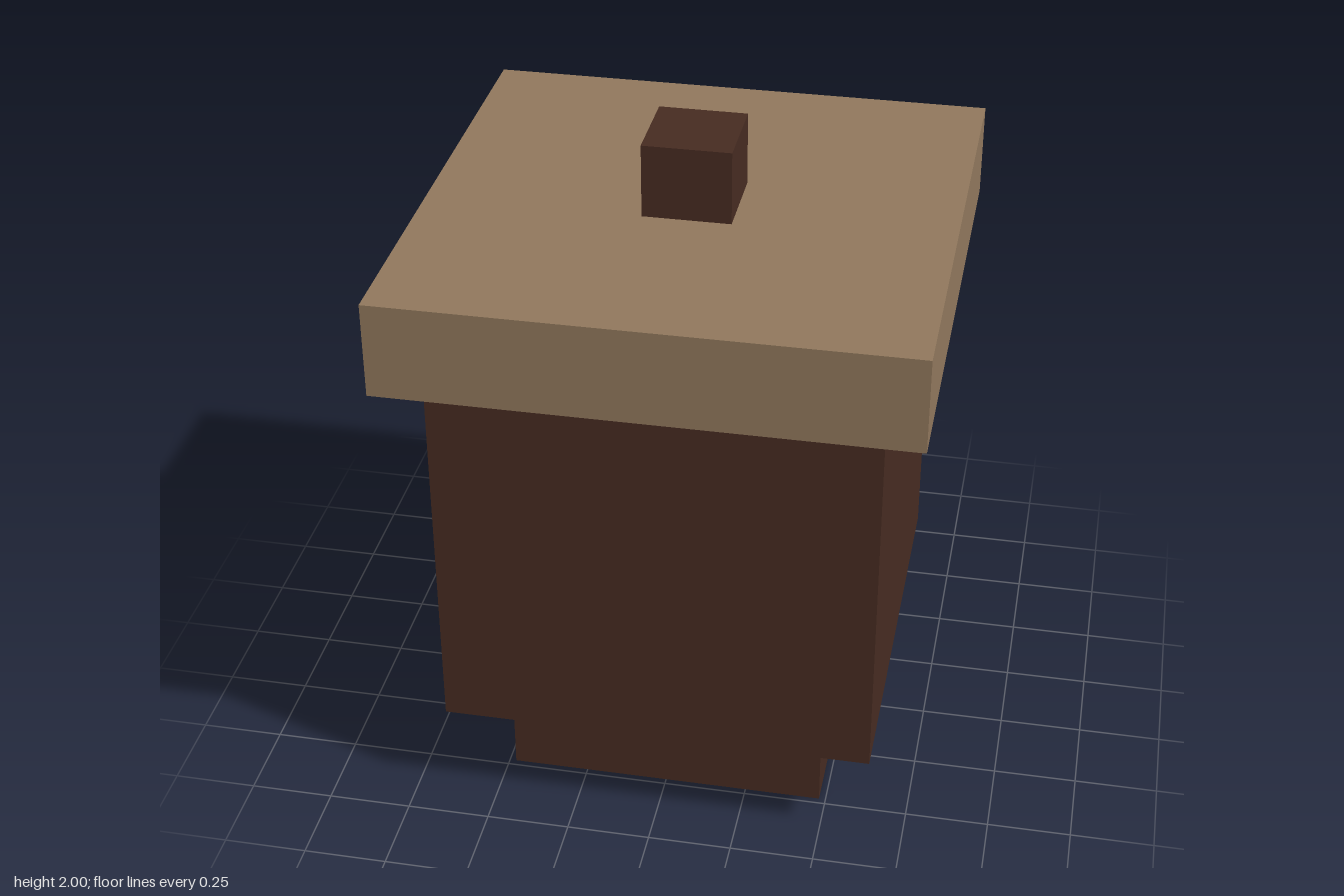
import * as THREE from 'three';

export function createModel() {
  const group = new THREE.Group();
  const darkWood = new THREE.MeshStandardMaterial({ name: 'darkWood', color: 0x462b21 });
  const lightWood = new THREE.MeshStandardMaterial({ name: 'lightWood', color: 0x90775c });

  // Square block centred on the vertical axis, from height y0 to y1
  function block(name, width, y0, y1, material) {
    const mesh = new THREE.Mesh(new THREE.BoxGeometry(width, y1 - y0, width), material);
    mesh.name = name;
    mesh.position.y = (y0 + y1) / 2;
    group.add(mesh);
  }

  block('foot', 0.96, 0, 0.305, darkWood);
  block('body', 1.29, 0.305, 1.493, darkWood);
  block('lid', 1.534, 1.493, 1.778, lightWood);
  block('knob', 0.26, 1.778, 2, darkWood);

  return group;
}
